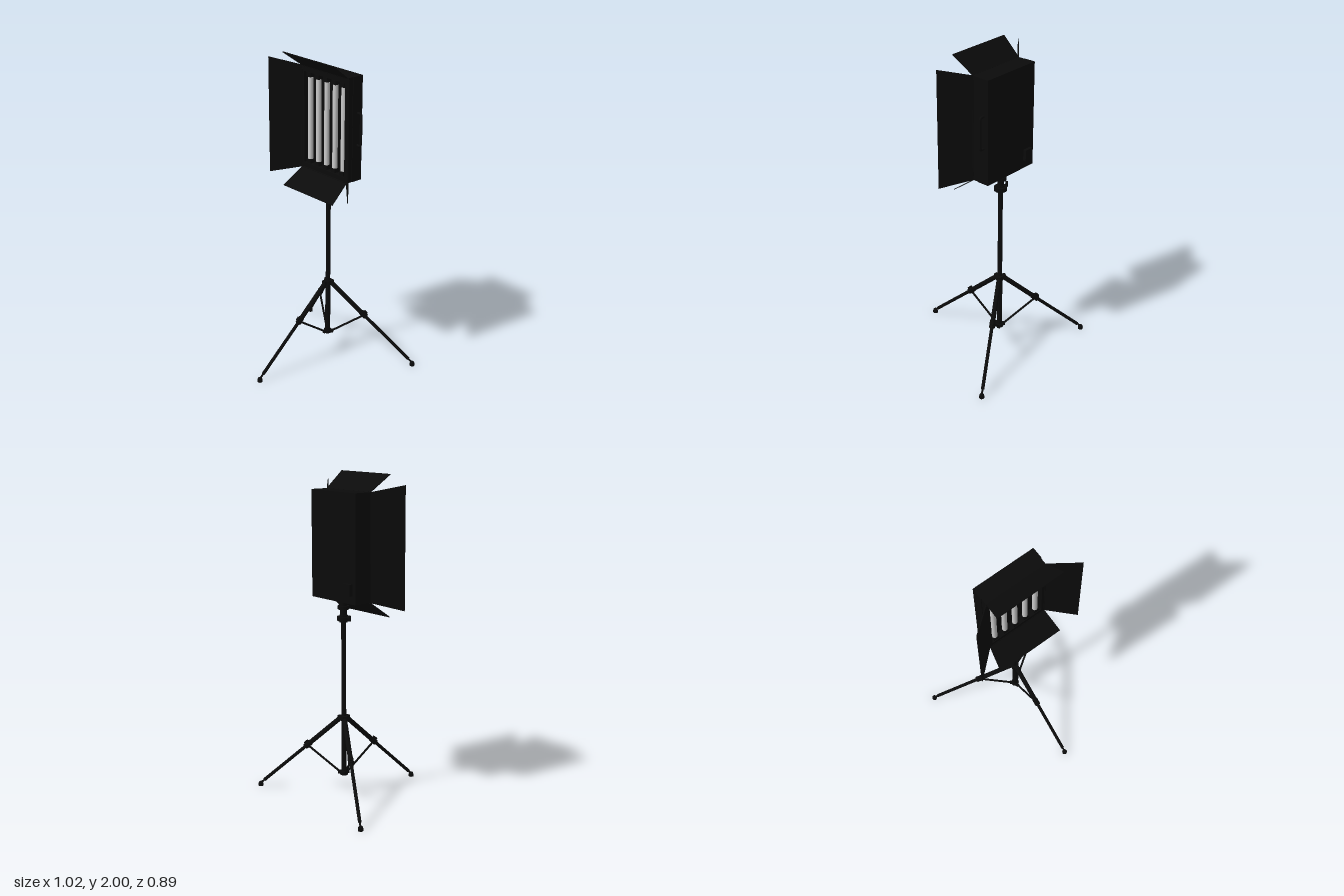
import * as THREE from 'three';

const black = new THREE.MeshStandardMaterial({ color: 0x0b0b0b });
const sheet = new THREE.MeshStandardMaterial({ color: 0x0b0b0b, side: THREE.DoubleSide });
const grey = new THREE.MeshStandardMaterial({ color: 0xcccccc });
const V = (x, y, z) => new THREE.Vector3(x, y, z);

function add(parent, name, geometry, x = 0, y = 0, z = 0, material = black) {
  const mesh = new THREE.Mesh(geometry, material);
  mesh.name = name;
  mesh.position.set(x, y, z);
  parent.add(mesh);
  return mesh;
}

const box = (parent, name, w, h, d, x, y, z) => add(parent, name, new THREE.BoxGeometry(w, h, d), x, y, z);
const disc = (parent, name, r, h, x, y, z, mat) =>
  add(parent, name, new THREE.CylinderGeometry(r, r, h, 20), x, y, z, mat);

// Round bar between two points
function rod(parent, name, a, b, r, r2 = r) {
  const mesh = add(parent, name, new THREE.CylinderGeometry(r2, r, a.distanceTo(b), 16));
  mesh.position.copy(a).lerp(b, 0.5);
  mesh.quaternion.setFromUnitVectors(V(0, 1, 0), b.clone().sub(a).normalize());
  return mesh;
}

// Thin trapezoid: hinge edge at y = 0, wider outer edge at y = length
function flapGeometry(inner, outer, length) {
  const s = new THREE.Shape([
    new THREE.Vector2(-inner, 0), new THREE.Vector2(inner, 0),
    new THREE.Vector2(outer, length), new THREE.Vector2(-outer, length),
  ]);
  const g = new THREE.ExtrudeGeometry(s, { depth: 0.005, bevelEnabled: false });
  return g.translate(0, 0, -0.0025);
}

function buildLeg() {
  const leg = new THREE.Group();
  leg.name = 'leg';
  const top = V(0, 0.51, 0.02), knee = V(0, 0.313, 0.24), foot = V(0, 0.02, 0.57);
  const dir = foot.clone().sub(top).normalize();
  const ankle = foot.clone().addScaledVector(dir, -0.035);
  rod(leg, 'upperLeg', top, knee, 0.015);
  rod(leg, 'lowerLeg', knee, ankle, 0.0105);
  rod(leg, 'ankle', ankle, foot, 0.006);
  disc(leg, 'footPad', 0.016, 0.014, 0, 0.007, 0.57);
  add(leg, 'footBall', new THREE.SphereGeometry(0.015, 16, 10), 0, 0.016, 0.57);
  // Sliding clamp with brace hinge
  rod(leg, 'kneeClamp', knee.clone().addScaledVector(dir, -0.022), knee.clone().addScaledVector(dir, 0.022), 0.018);
  const lug = box(leg, 'kneeLug', 0.018, 0.02, 0.025, 0, 0.326, 0.25);
  lug.rotation.x = 0.73;
  rod(leg, 'brace', V(0, 0.157, 0.025), V(0, 0.303, 0.235), 0.0065);
  box(leg, 'topHinge', 0.026, 0.028, 0.025, 0, 0.51, 0.025);
  box(leg, 'braceHinge', 0.018, 0.02, 0.02, 0, 0.157, 0.026);
  return leg;
}

function buildStand() {
  const stand = new THREE.Group();
  stand.name = 'stand';
  stand.position.z = -0.14;
  for (let i = 0; i < 3; i++) {
    const leg = buildLeg();
    leg.rotation.y = i * Math.PI * 2 / 3;
    stand.add(leg);
  }
  disc(stand, 'lowerPole', 0.0165, 0.38, 0, 0.33, 0);
  disc(stand, 'upperPole', 0.0145, 0.68, 0, 0.83, 0);
  disc(stand, 'legCollar', 0.027, 0.028, 0, 0.51, 0);
  disc(stand, 'braceCollar', 0.025, 0.02, 0, 0.155, 0);
  // Stepped mount under the lamp
  disc(stand, 'mountCollar', 0.039, 0.026, 0, 1.133, 0);
  disc(stand, 'mountCore', 0.025, 0.045, 0, 1.133, 0);
  disc(stand, 'neck', 0.02, 0.11, 0, 1.2, 0);
  disc(stand, 'neckRing', 0.035, 0.022, 0, 1.201, 0);
  disc(stand, 'headBracket', 0.03, 0.04, 0, 1.238, 0);
  rod(stand, 'clampScrew', V(0, 1.14, 0), V(-0.055, 1.14, 0), 0.006);
  box(stand, 'clampKnob', 0.01, 0.034, 0.012, -0.058, 1.14, 0);
  return stand;
}

function buildHead() {
  const head = new THREE.Group();
  head.name = 'lampHead';
  head.position.y = 1.575;

  // Housing: rear box plus a front frame with an opening
  box(head, 'housing', 0.408, 0.65, 0.075, 0, 0, -0.18);
  const frame = new THREE.Shape([[-0.2, -0.325], [0.2, -0.325], [0.2, 0.325], [-0.2, 0.325]]
    .map(p => new THREE.Vector2(...p)));
  frame.holes.push(new THREE.Path([[-0.18, -0.29], [-0.18, 0.29], [0.18, 0.29], [0.18, -0.29]]
    .map(p => new THREE.Vector2(...p))));
  add(head, 'frontFrame', new THREE.ExtrudeGeometry(frame, { depth: 0.043, bevelEnabled: false }), 0, 0, -0.143);

  // Five light tubes with end sockets
  for (let i = -2; i <= 2; i++) {
    disc(head, 'lightTube', 0.0165, 0.52, i * 0.0735, -0.003, -0.123, grey);
    for (const s of [-1, 1]) box(head, 'tubeSocket', 0.036, 0.028, 0.036, i * 0.0735, s * 0.276 - 0.003, -0.123);
  }

  // Four barn doors, hinged on the front edges
  const sideLength = Math.hypot(0.155, 0.133), endLength = Math.hypot(0.098, 0.133);
  for (const s of [-1, 1]) {
    const side = new THREE.Group();
    side.position.set(s * 0.2, 0, -0.1);
    // Turn local y outwards and forwards, local x along the vertical hinge
    const out = V(s * 0.155, 0, 0.133).normalize(), along = V(0, 1, 0);
    side.quaternion.setFromRotationMatrix(new THREE.Matrix4().makeBasis(along, out, along.clone().cross(out)));
    add(side, s > 0 ? 'leftFlap' : 'rightFlap', flapGeometry(0.325, 0.368, sideLength), 0, 0, 0, sheet);
    head.add(side);

    const end = new THREE.Group();
    end.position.set(0, s * 0.325, -0.1);
    end.rotation.x = s > 0 ? Math.atan2(0.133, 0.098) : Math.PI - Math.atan2(0.133, 0.098);
    add(end, s > 0 ? 'topFlap' : 'bottomFlap', flapGeometry(0.2, 0.222, endLength), 0, 0, 0, sheet);
    head.add(end);

    rod(head, 'sideHinge', V(s * 0.2, -0.3, -0.1), V(s * 0.2, 0.3, -0.1), 0.004);
    rod(head, 'endHinge', V(-0.18, s * 0.323, -0.1), V(0.18, s * 0.323, -0.1), 0.004);
  }

  // Carrying handle on one side
  const grip = new THREE.CatmullRomCurve3([
    V(0.2, -0.1, -0.183), V(0.225, -0.1, -0.183), V(0.232, -0.085, -0.183),
    V(0.232, 0.085, -0.183), V(0.225, 0.1, -0.183), V(0.2, 0.1, -0.183),
  ], false, 'catmullrom', 0.2);
  add(head, 'handle', new THREE.TubeGeometry(grip, 40, 0.008, 10));

  // Switch box on the back
  box(head, 'switchBox', 0.06, 0.07, 0.022, -0.145, -0.24, -0.226);
  return head;
}

export function createModel() {
  const model = new THREE.Group();
  model.name = 'studioLight';
  model.add(buildStand(), buildHead());
  return model;
}
